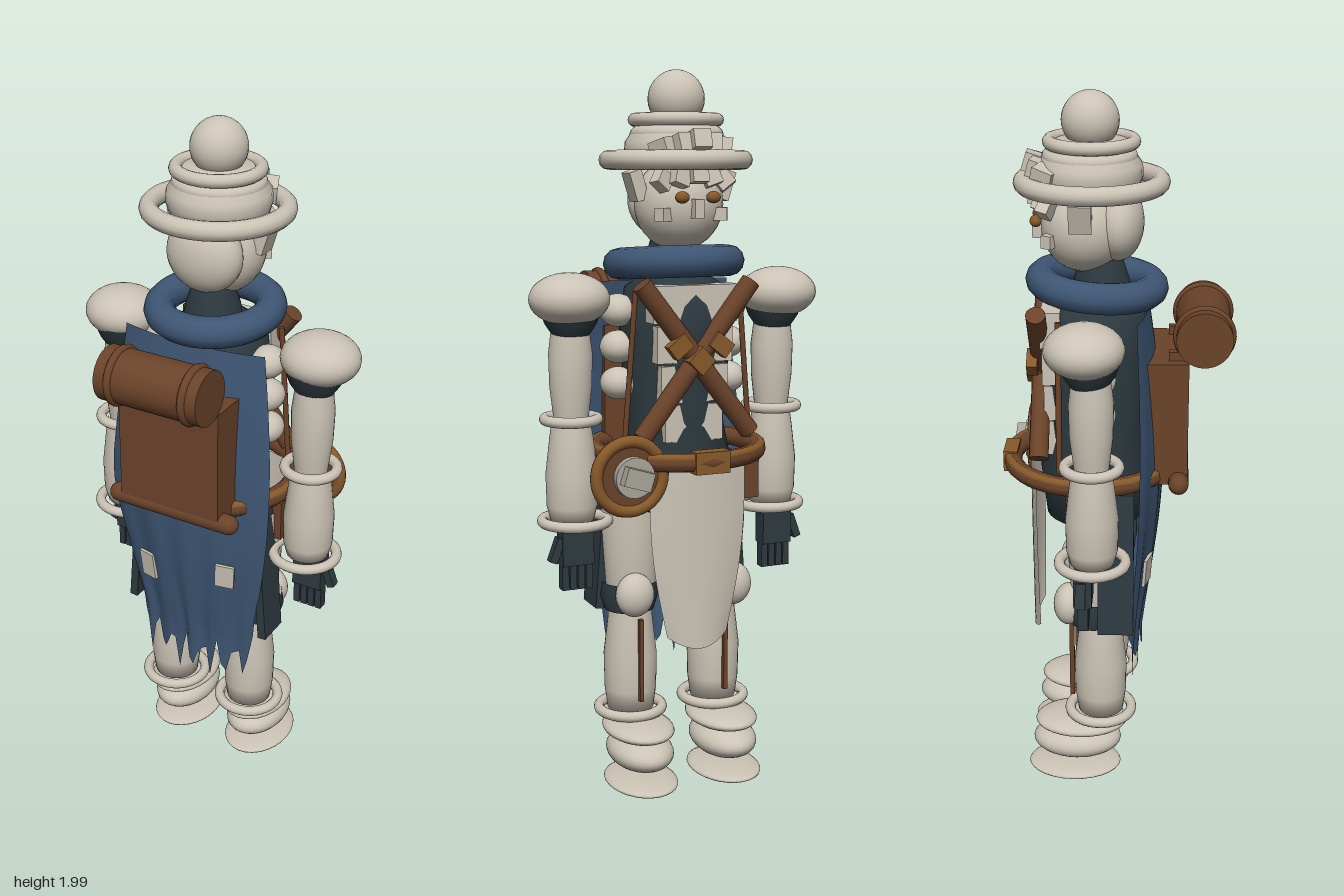
import * as THREE from 'three';

const mat = (name, color, side = THREE.FrontSide) => {
  const m = new THREE.MeshStandardMaterial({ color, side });
  m.name = name;
  return m;
};

export function createModel() {
  const root = new THREE.Group();
  root.name = 'wanderer';
  const bone = mat('bone', 0xcbc3b5), cloth = mat('apronCloth', 0xcdc5b7, THREE.DoubleSide);
  const blue = mat('blueCloth', 0x3e5674, THREE.DoubleSide), dark = mat('darkCloth', 0x2d3a40, THREE.DoubleSide);
  const leather = mat('leather', 0x6b432a), tan = mat('tanLeather', 0x86592a), metal = mat('metal', 0xaaa69b);

  const add = (name, geo, m, x, y, z, parent = root) => {
    const o = new THREE.Mesh(geo, m);
    o.name = name;
    o.position.set(x, y, z);
    parent.add(o);
    return o;
  };
  const ball = (name, m, x, y, z, rx, ry = rx, rz = rx, p = root) => {
    const o = add(name, new THREE.SphereGeometry(1, 28, 18), m, x, y, z, p);
    o.scale.set(rx, ry, rz);
    return o;
  };
  const box = (name, m, x, y, z, w, h, d, p = root) => add(name, new THREE.BoxGeometry(w, h, d), m, x, y, z, p);
  const ring = (name, m, x, y, z, R, t, p = root) => {
    const o = add(name, new THREE.TorusGeometry(R, t, 12, 40), m, x, y, z, p);
    o.rotation.x = Math.PI / 2;
    return o;
  };
  // Turned body from [radius, y] pairs, bottom to top
  const turned = (name, m, x, z, pts, p = root) =>
    add(name, new THREE.LatheGeometry(pts.map(q => new THREE.Vector2(q[0], q[1])), 28), m, x, 0, z, p);
  // Sheet shaped by a rule over u (-1..1 across) and v (0 top..1 bottom)
  const sheet = (name, m, nu, nv, rule) => {
    const g = new THREE.PlaneGeometry(2, 1, nu, nv), a = g.attributes.position;
    for (let i = 0; i < a.count; i++) a.setXYZ(i, ...rule(a.getX(i), 0.5 - a.getY(i)));
    g.computeVertexNormals();
    return add(name, g, m, 0, 0, 0);
  };

  // Head
  ball('head', bone, 0, 1.645, -0.085, 0.122, 0.125, 0.118);
  ball('backOfHead', bone, 0, 1.655, 0.005, 0.11, 0.105, 0.07);
  turned('neck', dark, 0, -0.04, [[0.09, 1.42], [0.075, 1.5], [0.055, 1.56]]);
  for (const s of [-1, 1]) {
    box('ear', bone, s * 0.128, 1.695, -0.09, 0.035, 0.08, 0.06).rotation.z = s * -0.3;
    ball('eye', tan, s * 0.045, 1.665, -0.212, 0.02, 0.016, 0.016);
    box('cheekPlate', bone, s * 0.075, 1.62, -0.17, 0.055, 0.035, 0.03).rotation.y = s * 0.5;
  }
  box('nose', bone, 0, 1.635, -0.21, 0.026, 0.05, 0.03);
  for (let i = -2; i <= 2; i++) {
    const brow = box('browBlock', bone, i * 0.045, 1.725 - Math.abs(i) * 0.008, -0.215 + Math.abs(i) * 0.017, 0.045, 0.045, 0.035);
    brow.rotation.set(0.2, i * 0.2, i * 0.3);
    const f = box('hatBlock', bone, i * 0.042, 1.81 - Math.abs(i) * 0.01, -0.215 + Math.abs(i) * 0.016, 0.05, 0.05, 0.06);
    f.rotation.set(0.3, i * 0.2, i * -0.12);
  }

  // Hat
  ring('hatBrim', bone, 0, 1.762, -0.065, 0.183, 0.026);
  turned('hatCrown', bone, 0, -0.07, [[0, 1.73], [0.13, 1.74], [0.142, 1.78], [0.14, 1.81], [0.12, 1.84], [0.105, 1.87], [0, 1.885]]);
  ring('crownBand', bone, 0, 1.83, -0.07, 0.107, 0.02);
  ring('crownTopBand', bone, 0, 1.868, -0.065, 0.112, 0.018);
  ball('hatBall', bone, 0, 1.923, -0.068, 0.077);

  // Scarf and torso
  ring('scarf', blue, 0, 1.486, -0.052, 0.152, 0.043).rotation.x += 0.08;
  turned('torso', dark, 0, -0.06, [[0, 0.8], [0.14, 0.81], [0.155, 0.95], [0.135, 1.05], [0.155, 1.3], [0.14, 1.42], [0.06, 1.48]]);
  for (let i = 0; i < 4; i++)
    box('chestPlate', bone, 0, 1.06 + i * 0.108, -0.165 - i * 0.003, 0.17 + i * 0.025, 0.1, 0.055);
  for (const s of [-1, 1]) {
    for (let i = 0; i < 3; i++) ball('ribPad', bone, s * 0.165, 1.16 + i * 0.1, -0.05, 0.05, 0.045, 0.055);
    // Crossed chest straps
    const strap = add('chestStrap', new THREE.CylinderGeometry(0.027, 0.027, 0.52, 14), leather, 0, 1.235, -0.208);
    strap.rotation.z = s * 0.66;
    box('strapClip', tan, s * 0.06, 1.275, -0.228, 0.06, 0.045, 0.03).rotation.z = s * -0.66;
    const side = add('sideCord', new THREE.CylinderGeometry(0.008, 0.008, 0.42, 8), leather, s * 0.17, 1.21, -0.15);
    side.rotation.z = s * 0.08;
  }
  box('strapKnot', tan, 0, 1.235, -0.228, 0.055, 0.055, 0.04).rotation.z = 0.78;

  // Belt with buckle, pouches and round gauge
  ring('belt', leather, 0, 0.972, -0.07, 0.225, 0.026);
  ring('beltEdge', tan, 0, 0.985, -0.07, 0.236, 0.013);
  box('buckle', tan, 0, 0.972, -0.298, 0.1, 0.06, 0.04);
  for (const s of [-1, 1]) {
    box('pouch', leather, s * 0.2, 0.88, -0.08, 0.06, 0.12, 0.1);
    ball('pouchButton', bone, s * 0.232, 0.88, -0.08, 0.009);
  }
  add('gaugeRim', new THREE.TorusGeometry(0.094, 0.017, 12, 40), tan, 0.212, 0.94, -0.25);
  const face = add('gaugeBack', new THREE.CylinderGeometry(0.085, 0.085, 0.02, 32), leather, 0.212, 0.94, -0.246);
  const cap = add('gaugeCap', new THREE.CylinderGeometry(0.055, 0.055, 0.026, 24), metal, 0.205, 0.94, -0.263);
  face.rotation.x = cap.rotation.x = Math.PI / 2;
  box('gaugeKnob', metal, 0.205, 0.94, -0.288, 0.078, 0.05, 0.035).rotation.z = 0.3;

  // Front apron
  sheet('apron', cloth, 12, 14, (u, v) => {
    const w = 0.14 - 0.05 * v + 0.02 * Math.sin(v * Math.PI);
    return [u * w, 0.97 - v * 0.5 - 0.035 * (1 - u * u) * v, -0.243 + 0.025 * u * u];
  });

  // Ragged cape with patches
  const capeZ = (u, v) => 0.09 + 0.05 * Math.sin(Math.min(1, v * 1.05) * Math.PI) * (1 - 0.6 * u * u)
    - 0.03 * u * u - 0.02 * v + 0.006 * Math.cos(u * 14) * v;
  sheet('cape', blue, 28, 20, (u, v) => {
    const w = 0.215 + 0.035 * Math.sin(Math.PI * Math.min(1, v * 1.1)) - 0.03 * v * v;
    const k = Math.round((u + 1) * 14);
    const jag = (k % 4 === 2 ? -0.06 : k % 4 === 0 ? 0.04 : 0) + 0.025 * Math.sin(k * 2.3) - 0.04 * (1 - u * u);
    const flare = u < 0 ? 0.025 * -u * Math.exp(-30 * (v - 0.5) ** 2) : 0;
    return [u * w - flare, 1.43 - v * 0.99 + jag * Math.pow(v, 8), capeZ(u, v)];
  });
  for (const [x, y, h] of [[-0.14, 0.683, 0.085], [0.125, 0.737, 0.075]]) {
    const p = box('capePatch', bone, x, y, capeZ(x / 0.235, (1.43 - y) / 0.99) + 0.006, 0.056, h, 0.009);
    p.rotation.set(0.1, x * 2, x * -0.6);
  }

  // Backpack and bedroll
  box('backpack', leather, 0, 1.13, 0.14, 0.31, 0.35, 0.12);
  const bar = add('packRoll', new THREE.CapsuleGeometry(0.028, 0.352, 8, 16), leather, 0, 0.965, 0.176);
  const roll = add('bedroll', new THREE.CylinderGeometry(0.076, 0.076, 0.31, 32), leather, 0, 1.372, 0.24);
  bar.rotation.z = roll.rotation.z = Math.PI / 2;
  for (const s of [-1, 1]) {
    add('bedrollStrap', new THREE.TorusGeometry(0.073, 0.012, 10, 32), leather, s * 0.112, 1.372, 0.24).rotation.y = Math.PI / 2;
    box('rollHolder', leather, s * 0.112, 1.3, 0.17, 0.024, 0.06, 0.05);
  }

  for (const s of [-1, 1]) {
    // Arm
    const arm = new THREE.Group();
    arm.name = s > 0 ? 'leftArm' : 'rightArm';
    root.add(arm);
    const x = s * 0.305;
    ball('shoulder', bone, s * 0.312, 1.397, -0.072, 0.11, 0.071, 0.106, arm);
    turned('armSleeve', dark, x, -0.06, [[0.05, 1.3], [0.07, 1.33], [0.085, 1.37]], arm);
    turned('upperArm', bone, x, -0.055, [[0.045, 1.05], [0.05, 1.09], [0.058, 1.16], [0.06, 1.25], [0.05, 1.33]], arm);
    ring('elbowRing', bone, x, 1.07, -0.055, 0.072, 0.015, arm);
    turned('forearm', bone, x, -0.055, [[0, 0.785], [0.06, 0.79], [0.07, 0.83], [0.072, 0.92], [0.06, 1.02], [0.052, 1.07]], arm);
    ring('wristRing', bone, x - s * 0.008, 0.786, -0.055, 0.09, 0.015, arm);
    // Gloved hand
    box('palm', dark, x, 0.72, -0.08, 0.09, 0.1, 0.05, arm);
    for (let i = 0; i < 4; i++) box('finger', dark, x + (i - 1.5) * 0.023, 0.64, -0.08, 0.019, 0.08, 0.03, arm);
    box('thumb', dark, x + s * 0.058, 0.715, -0.085, 0.022, 0.07, 0.028, arm).rotation.z = s * 0.35;

    // Leg
    const leg = new THREE.Group();
    leg.name = s > 0 ? 'leftLeg' : 'rightLeg';
    root.add(leg);
    const lx = s * 0.13;
    turned('thigh', bone, lx, -0.05, [[0.06, 0.52], [0.075, 0.6], [0.085, 0.75], [0.08, 0.9]], leg);
    turned('shin', bone, lx, -0.042, [[0, 0.21], [0.066, 0.22], [0.074, 0.28], [0.076, 0.38], [0.064, 0.48], [0.058, 0.56]], leg);
    ball('kneePad', bone, s * 0.15, 0.575, -0.13, 0.055, 0.062, 0.045, leg);
    turned('kneeWrap', dark, s * 0.14, -0.06, [[0.07, 0.52], [0.082, 0.56], [0.076, 0.6]], leg);
    box('shinStrap', leather, lx, 0.38, -0.125, 0.012, 0.24, 0.014, leg);
    ring('ankleRing', bone, lx, 0.218, -0.042, 0.09, 0.015, leg);
    ball('bootCuff', bone, lx, 0.178, -0.1, 0.097, 0.03, 0.135, leg);
    ball('boot', bone, lx, 0.115, -0.112, 0.09, 0.053, 0.13, leg);
    ball('sole', bone, lx, 0.028, -0.12, 0.1, 0.02, 0.137, leg);
    turned('ankleCore', bone, lx, -0.08, [[0.05, 0.025], [0.06, 0.21]], leg).visible = false;

    // Dark side skirt
    const skirt = box('sideSkirt', dark, s * 0.205, 0.73, 0.005, 0.025, 0.42, 0.1);
    skirt.rotation.z = s * 0.08;
  }
  return root;
}
